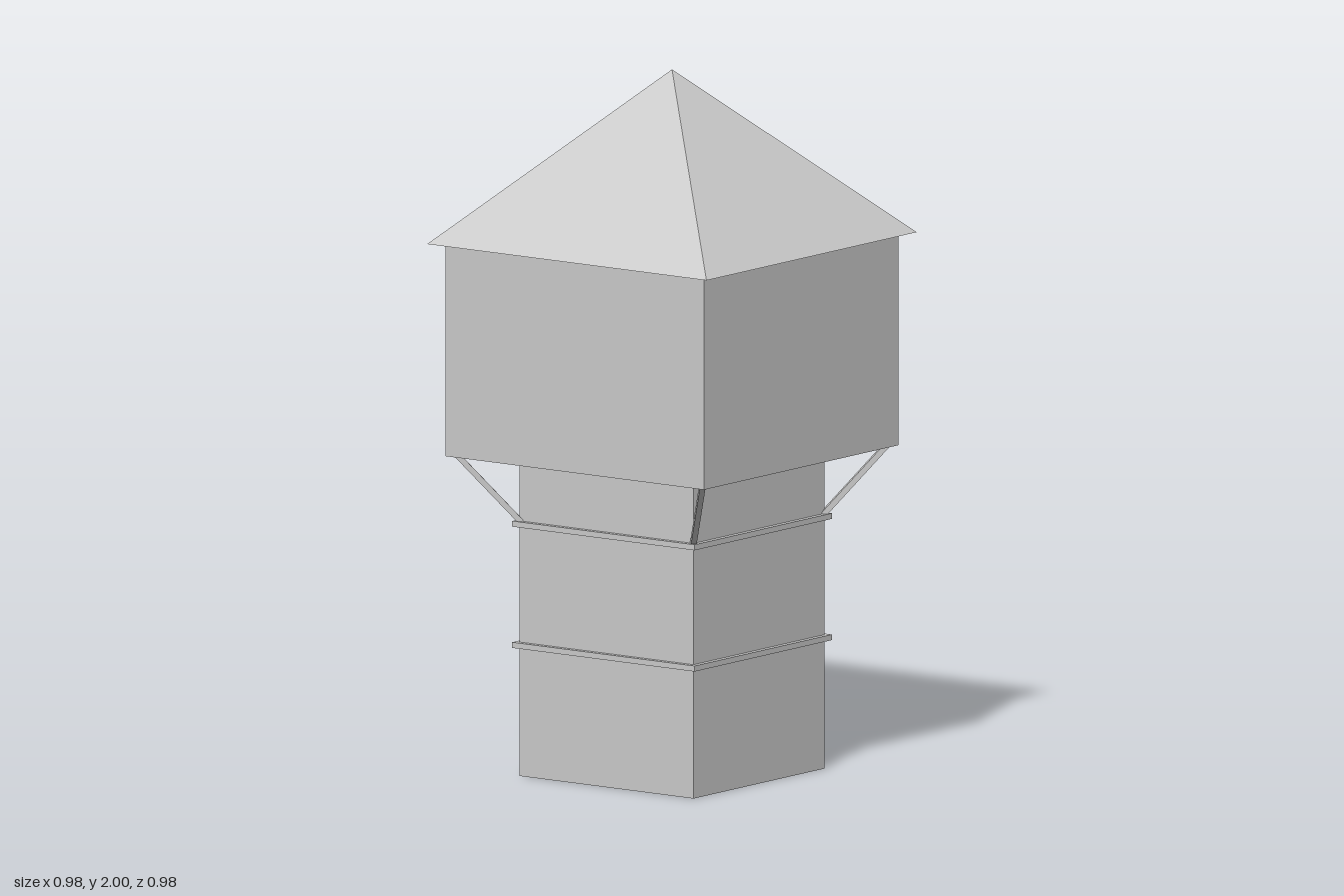
import * as THREE from 'three';

const material = new THREE.MeshStandardMaterial({ color: 0xcccccc, flatShading: true });

function add(group, name, geometry) {
  const mesh = new THREE.Mesh(geometry, material);
  mesh.name = name;
  group.add(mesh);
  return mesh;
}

// Square tube standing upright; an optional notch cuts into the back of the outline
function frame(outer, inner, y0, y1, notch) {
  const points = [[-outer, -outer], [outer, -outer], [outer, outer]];
  if (notch) {
    const { half, depth } = notch;
    points.push([half, outer], [half, outer - depth], [-half, outer - depth], [-half, outer]);
  }
  points.push([-outer, outer]);
  const shape = new THREE.Shape(points.map(([x, y]) => new THREE.Vector2(x, y)));
  shape.holes.push(new THREE.Path([
    [-inner, -inner], [-inner, inner], [inner, inner], [inner, -inner],
  ].map(([x, y]) => new THREE.Vector2(x, y))));
  const geometry = new THREE.ExtrudeGeometry(shape, { depth: y1 - y0, bevelEnabled: false });
  return geometry.rotateX(-Math.PI / 2).translate(0, y0, 0);
}

export function createModel() {
  const tower = new THREE.Group();
  tower.name = 'tower';

  // Hollow shaft, open at the bottom, with a shallow door recess in the back
  const half = 0.305, inner = 0.27, doorBottom = 0.025, doorTop = 0.31, top = 0.915;
  const shaft = new THREE.Group();
  shaft.name = 'shaft';
  tower.add(shaft);
  add(shaft, 'shaftBase', frame(half, inner, 0, doorBottom));
  add(shaft, 'doorLevel', frame(half, inner, doorBottom, doorTop, { half: 0.082, depth: 0.015 }));
  add(shaft, 'shaftUpper', frame(half, inner, doorTop, top));

  // Trim bands around the shaft
  for (const [name, y] of [['lowerBand', 0.365], ['upperBand', 0.71]]) {
    add(tower, name, frame(0.32, half - 0.005, y, y + 0.016));
  }

  // Overhanging upper room
  add(tower, 'upperRoom', new THREE.BoxGeometry(0.906, 1.52 - top, 0.906)
    .translate(0, (1.52 + top) / 2, 0));

  // Pyramid roof with a slight overhang
  add(tower, 'roof', new THREE.ConeGeometry(0.49 * Math.SQRT2, 0.48, 4)
    .rotateY(Math.PI / 4).translate(0, 1.76, 0));

  // Diagonal corner braces under the upper room
  for (const sx of [-1, 1]) {
    for (const sz of [-1, 1]) {
      const low = new THREE.Vector3(sx * 0.3, 0.72, sz * 0.3);
      const high = new THREE.Vector3(sx * 0.432, 0.92, sz * 0.432);
      const brace = add(tower, 'cornerBrace', new THREE.BoxGeometry(0.016, 0.016, low.distanceTo(high)));
      brace.position.copy(low).lerp(high, 0.5);
      brace.lookAt(high);
    }
  }

  return tower;
}
